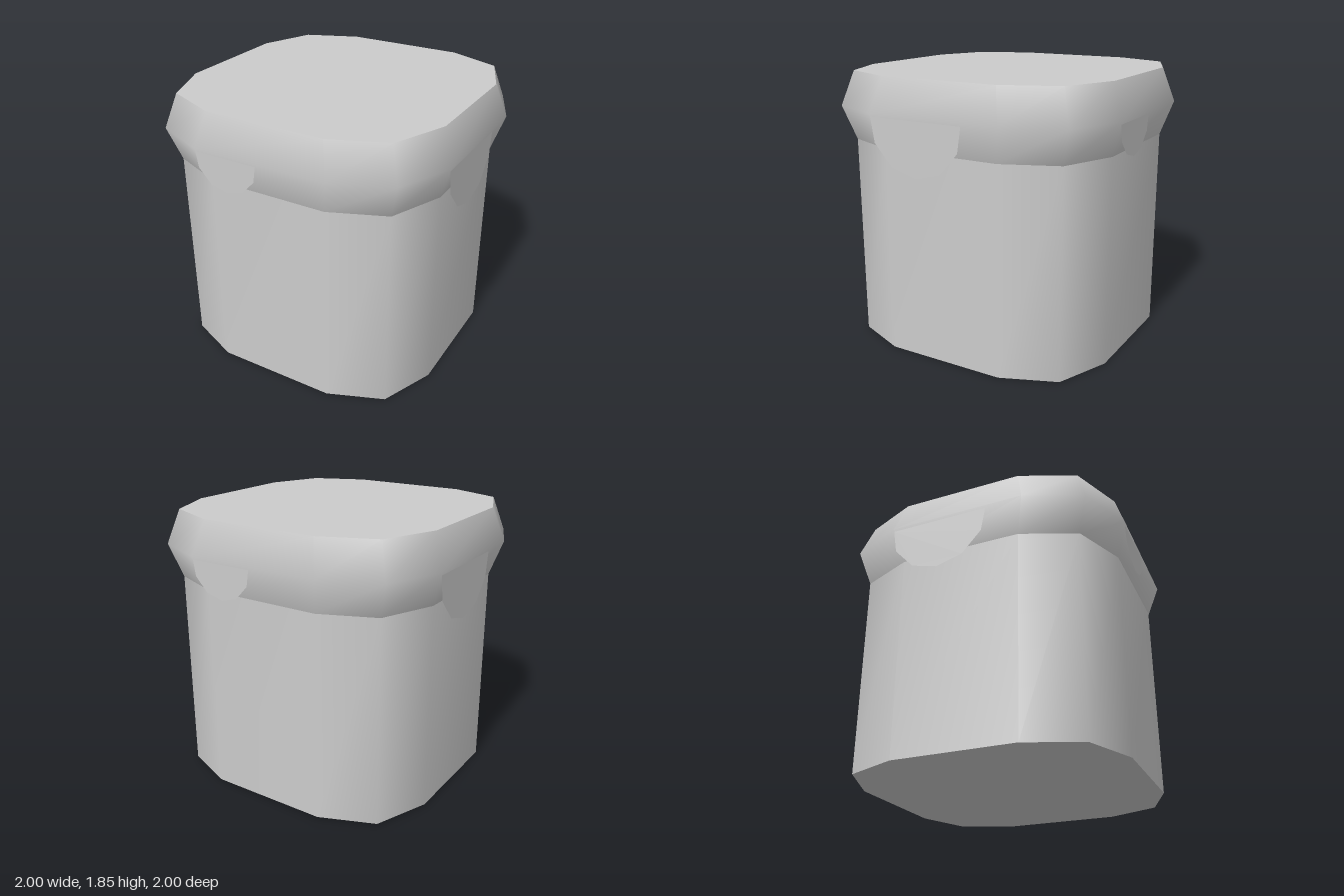
import * as THREE from 'three';

const material = new THREE.MeshStandardMaterial({ color: 0xcccccc });
const sheetMaterial = new THREE.MeshStandardMaterial({ color: 0xcccccc, side: THREE.DoubleSide });

// Twelve-sided rounded square: half flat edge, corner and half width
const inner = { flat: 0.415, corner: 0.777, half: 0.925 };
const outer = { flat: 0.469, corner: 0.842, half: 1.0 };

function outline({ flat, corner, half }) {
  const points = [];
  for (let q = 0; q < 4; q++) {
    for (const [x, z] of [[-flat, half], [flat, half], [corner, corner]]) {
      points.push(new THREE.Vector2(x, z).rotateAround(new THREE.Vector2(), -q * Math.PI / 2));
    }
  }
  return points;
}

// Smooth closed wall through a stack of [y, size] rings
function wall(rings) {
  const position = [], index = [], n = 12;
  rings.forEach(([y, size], i) => {
    outline(size).forEach((p, j) => {
      position.push(p.x, y, p.y);
      if (i === rings.length - 1) return;
      const a = i * n + j, b = i * n + (j + 1) % n;
      index.push(a, b, b + n, a, b + n, a + n);
    });
  });
  const geometry = new THREE.BufferGeometry();
  geometry.setAttribute('position', new THREE.Float32BufferAttribute(position, 3));
  geometry.setIndex(index);
  geometry.computeVertexNormals();
  return geometry;
}

// Flat cap facing up (1) or down (-1)
function cap(y, direction) {
  return new THREE.ShapeGeometry(new THREE.Shape(outline(inner)))
    .rotateX(-direction * Math.PI / 2).translate(0, y, 0);
}

// Flat rounded flap hanging from the lid
function flap(centre, halfWidth, length) {
  const half = [[1, 0], [0.92, 0.46], [0.53, 0.86]];
  const profile = [...half, [0, 1], ...half.map(([x, y]) => [-x, y]).reverse()];
  const points = profile.map(([x, y]) => new THREE.Vector2(centre + x * halfWidth, 1.602 - y * length));
  return new THREE.ShapeGeometry(new THREE.Shape(points)).translate(0, 0, 0.996);
}

export function createModel() {
  const model = new THREE.Group();
  const add = (name, geometry, mat = material) => {
    const mesh = new THREE.Mesh(geometry, mat);
    mesh.name = name;
    model.add(mesh);
    return mesh;
  };

  // Straight jar body
  add('body', wall([[0, inner], [1.39, inner]]));
  add('bodyBase', cap(0, -1));

  // Bulging lid
  add('lid', wall([[1.39, inner], [1.62, outer], [1.85, inner]]));
  add('lidTop', cap(1.85, 1));

  // Small flaps front and back, large flaps on the sides
  ['frontFlap', 'leftFlap', 'backFlap', 'rightFlap'].forEach((name, i) => {
    const geometry = i % 2 ? flap(-0.125, 0.34, 0.36) : flap(-0.24, 0.225, 0.232);
    add(name, geometry, sheetMaterial).rotation.y = i * Math.PI / 2;
  });

  return model;
}
